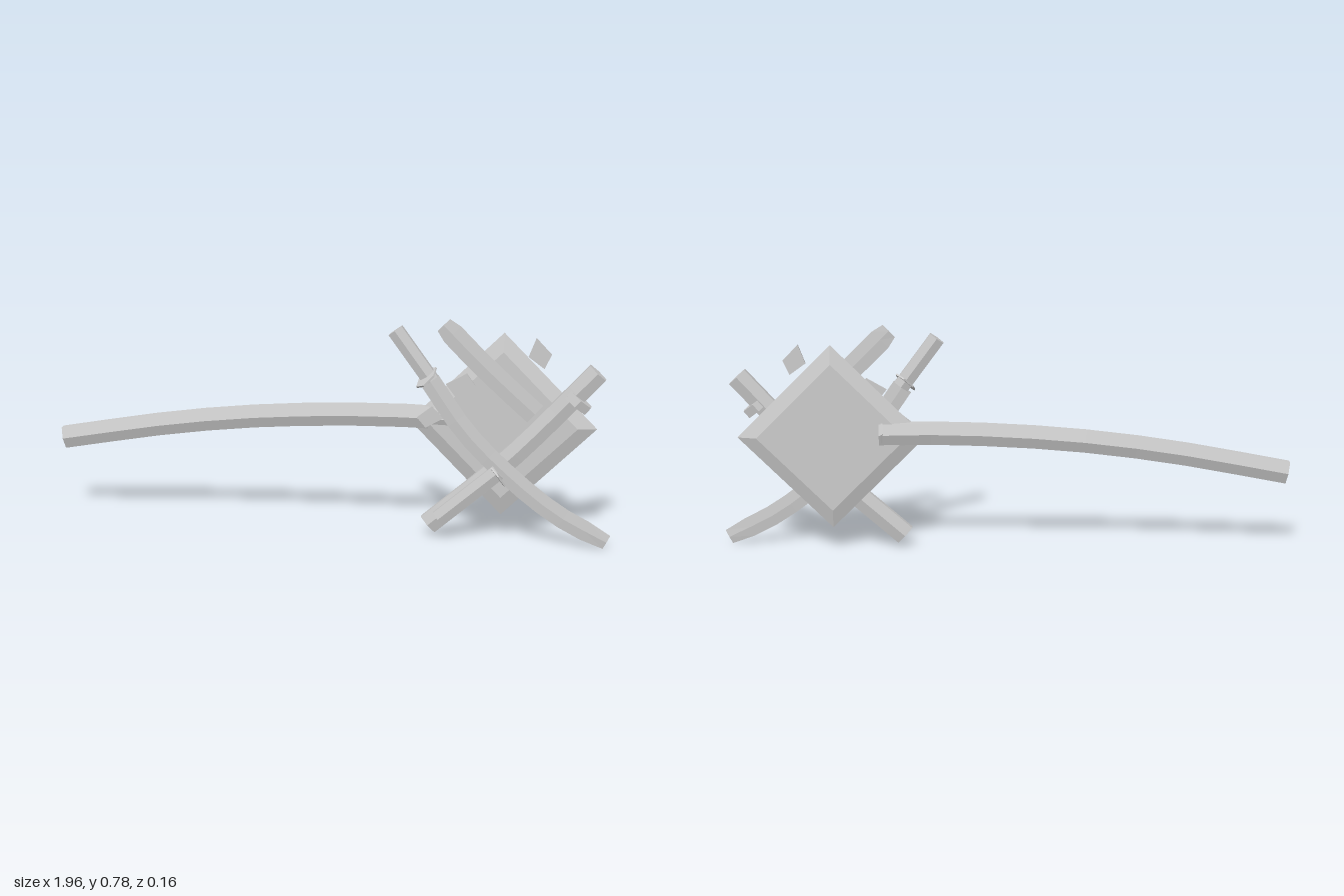
import * as THREE from 'three';

// Sweeps an elliptical n-sided section along a flat curve at depth z.
// points: [x, y]; r: half width in the plane; rz: half depth; tip: width at the far end
function sweep(points, z, r, rz, { sides = 6, steps = 8, tip = 1, turn = Math.PI / 6 } = {}) {
  const curve = new THREE.CatmullRomCurve3(points.map(([x, y]) => new THREE.Vector3(x, y, z)));
  const pos = [], idx = [];
  for (let j = 0; j <= steps; j++) {
    const p = curve.getPointAt(j / steps), t = curve.getTangentAt(j / steps);
    const w = j === steps ? r * tip : r;
    for (let i = 0; i < sides; i++) {
      const a = turn + (i / sides) * Math.PI * 2, c = Math.cos(a) * w;
      pos.push(p.x - t.y * c, p.y + t.x * c, p.z + Math.sin(a) * rz);
    }
  }
  for (let j = 0; j < steps; j++) {
    for (let i = 0; i < sides; i++) {
      const a = j * sides + i, b = j * sides + (i + 1) % sides;
      idx.push(a, b, b + sides, a, b + sides, a + sides);
    }
  }
  // end caps
  const last = steps * sides;
  for (let i = 1; i < sides - 1; i++) {
    idx.push(0, i + 1, i, last, last + i, last + i + 1);
  }
  const g = new THREE.BufferGeometry();
  g.setAttribute('position', new THREE.Float32BufferAttribute(pos, 3));
  g.setIndex(idx);
  const flat = g.toNonIndexed();
  flat.computeVertexNormals();
  return flat;
}

export function createModel() {
  const group = new THREE.Group();
  const mat = new THREE.MeshStandardMaterial({ color: 0xcccccc, flatShading: true, side: THREE.DoubleSide });
  const add = (name, geometry) => {
    const m = new THREE.Mesh(geometry, mat);
    m.name = name;
    group.add(m);
    return m;
  };

  // square plate with bevelled rim, standing on one corner
  const profile = [[0, -0.0175], [0.258, -0.0175], [0.323, 0], [0.258, 0.0175], [0, 0.0175]];
  const plate = add('plate', new THREE.LatheGeometry(profile.map(([x, y]) => new THREE.Vector2(x, y)), 4));
  plate.rotation.x = Math.PI / 2;
  plate.position.set(0.583, 0.398, -0.038);

  // long curved shaft
  add('shaft', sweep([[-0.99, 0.27], [-0.6, 0.342], [-0.3, 0.382], [0, 0.405], [0.3, 0.413], [0.42, 0.41]],
    -0.041, 0.044, 0.028));

  // curved sheath across the plate
  add('sheath', sweep([[0.335, 0.037], [0.61, 0.285], [0.905, 0.605]], -0.002, 0.042, 0.022));
  add('sheathBand', sweep([[0.832, 0.488], [0.852, 0.512]], 0, 0.05, 0.03, { steps: 1 }));

  // handles
  add('upperHandle', sweep([[0.22, 0.73], [0.345, 0.56]], 0.035, 0.032, 0.018, { steps: 1 }));
  add('lowerHandle', sweep([[0.375, 0.07], [0.58, 0.25]], 0.035, 0.032, 0.018, { steps: 1 }));

  // thin curved blades
  const blade = { sides: 4, steps: 10, turn: 0, tip: 0.75 };
  add('longBlade', sweep([[0.34, 0.56], [0.46, 0.39], [0.6, 0.25], [0.78, 0.11], [0.955, 0.02]],
    0.035, 0.036, 0.004, blade));
  add('brokenBlade', sweep([[0.7, 0.46], [0.62, 0.53], [0.5, 0.64], [0.385, 0.755]],
    0.035, 0.04, 0.004, blade));

  // tilted hand guards: thin discs across each handle
  const guard = (name, x, y, z, normal, rx, ry) => {
    const m = add(name, new THREE.CylinderGeometry(1, 1, 0.006, 6));
    m.scale.set(rx, 1, ry);
    m.quaternion.setFromUnitVectors(new THREE.Vector3(0, 1, 0), new THREE.Vector3(...normal).normalize());
    m.position.set(x, y, z);
  };
  guard('upperGuard', 0.33, 0.573, 0.047, [0.6, -0.75, -0.3], 0.05, 0.04);
  guard('lowerGuard', 0.58, 0.236, 0.048, [0.75, 0.6, -0.3], 0.045, 0.04);
  guard('shaftCollar', 0.41, 0.415, -0.045, [1, 0, 0], 0.04, 0.028);

  // loose shards
  const shard = (corners, z) => {
    const g = new THREE.ExtrudeGeometry(new THREE.Shape(corners.map(([x, y]) => new THREE.Vector2(x, y))),
      { depth: 0.008, bevelEnabled: false });
    add('shard', g.translate(0, 0, z - 0.004));
  };
  shard([[0.695, 0.715], [0.67, 0.65], [0.725, 0.61], [0.748, 0.66]], 0.0);
  shard([[0.395, 0.55], [0.43, 0.505], [0.495, 0.55], [0.465, 0.59]], 0.033);
  shard([[0.295, 0.425], [0.325, 0.39], [0.385, 0.425], [0.345, 0.465]], 0.02);

  return group;
}
